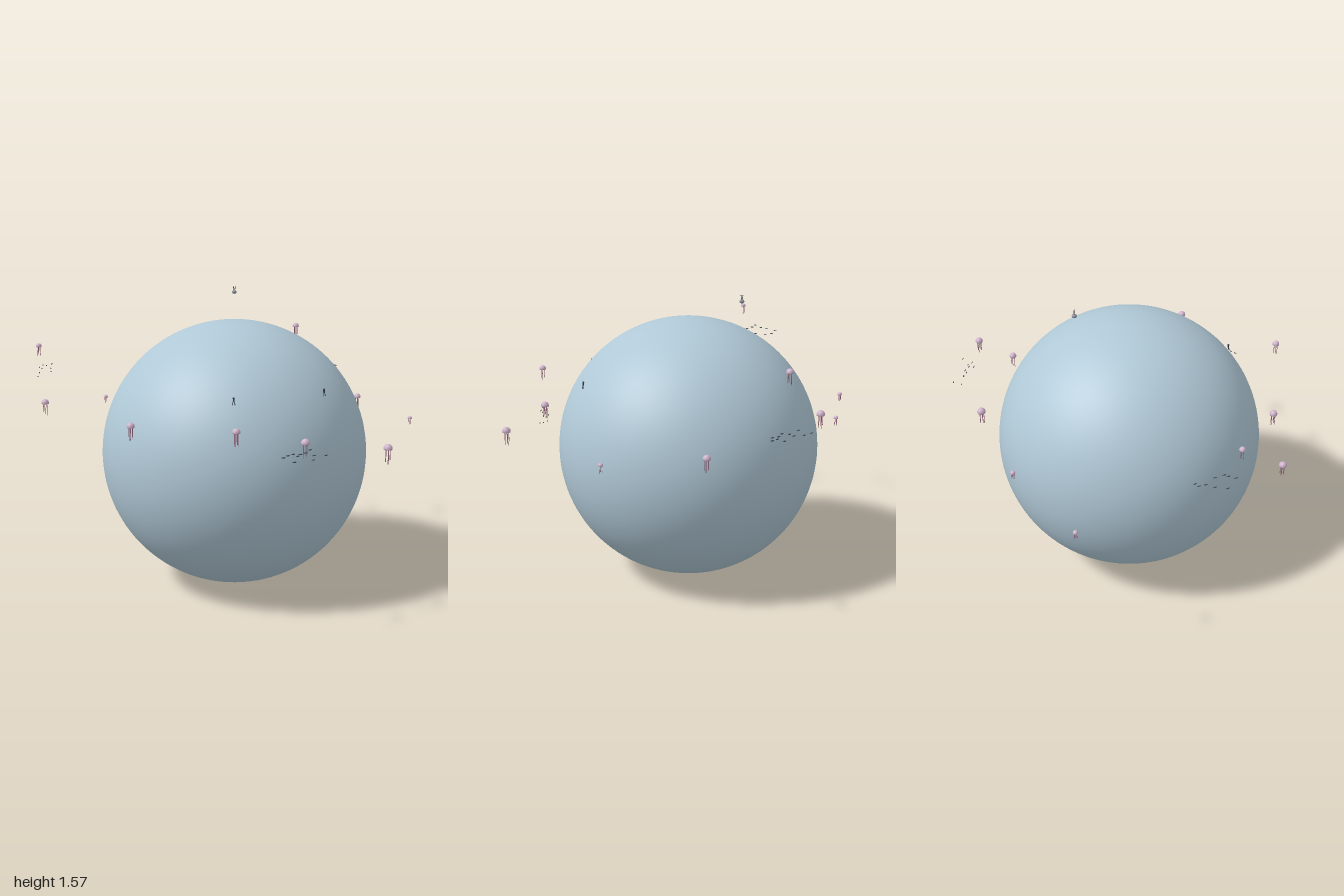
import * as THREE from 'three';

const mat = (name, color, side = THREE.FrontSide) => {
  const m = new THREE.MeshStandardMaterial({ color, side });
  m.name = name;
  return m;
};

export function createModel() {
  const model = new THREE.Group();
  const water = mat('paleBlue', 0xb0c8d6);
  const pink = mat('bellPink', 0xd0b4cc, THREE.DoubleSide);
  const rose = mat('tentacleRose', 0x9a6a82);
  const slate = mat('fishSlate', 0x46525c);
  const dark = mat('diverDark', 0x3a4048);
  const grey = mat('floatGrey', 0x8c9098);

  const add = (parent, name, geo, material, x = 0, y = 0, z = 0) => {
    const m = new THREE.Mesh(geo, material);
    m.name = name;
    m.position.set(x, y, z);
    parent.add(m);
    return m;
  };
  const group = (name, x, y, z) => {
    const g = new THREE.Group();
    g.name = name;
    g.position.set(x, y, z);
    model.add(g);
    return g;
  };
  // thin round rod between two points
  const rod = (parent, name, a, b, r, material) => {
    const p = new THREE.Vector3(...a), q = new THREE.Vector3(...b);
    const d = q.clone().sub(p);
    const m = add(parent, name, new THREE.CylinderGeometry(r, r, d.length(), 6), material);
    m.position.copy(p).add(q).multiplyScalar(0.5);
    m.quaternion.setFromUnitVectors(new THREE.Vector3(0, 1, 0), d.normalize());
  };

  // the great globe
  const centre = new THREE.Vector3(0, 0.71, 0.065);
  add(model, 'globe', new THREE.SphereGeometry(0.71, 96, 64), water, ...centre.toArray());

  // jellyfish: domed bell (unit radius) with trailing tentacles
  const bellProfile = [[0, -0.25], [0.55, -0.35], [0.92, -0.45], [1, -0.2], [0.92, 0.2],
    [0.7, 0.53], [0.4, 0.73], [0, 0.8]].map(p => new THREE.Vector2(...p));
  const bell = new THREE.LatheGeometry(bellProfile, 20);
  const jellies = [ // x, y, z, radius
    [-0.28, 1.02, -0.68, 0.022], [-0.025, 1.288, -0.72, 0.019], [0.415, 0.92, -0.64, 0.02],
    [-0.6, 0.885, -0.47, 0.013], [0.835, 0.9, -0.37, 0.012], [-0.988, 0.868, -0.11, 0.013],
    [0.975, 0.918, 0.315, 0.022], [0.64, 0.946, 0.515, 0.022], [0.46, 1.053, 0.857, 0.019],
    [-0.14, 0.998, 0.825, 0.02], [-0.645, 1.062, 0.843, 0.019], [-0.85, 1.299, 0.632, 0.015],
  ];
  jellies.forEach(([x, y, z, r], n) => {
    const g = group('jellyfish', x, y, z);
    g.scale.setScalar(r);
    add(g, 'bell', bell, pink);
    for (let i = 0; i < 5; i++) {
      const a = i / 5 * Math.PI * 2 + n;
      const px = 0.5 * Math.cos(a), pz = 0.5 * Math.sin(a);
      rod(g, 'tentacle', [px, -0.3, pz], [px, -2.7 - 0.45 * ((i * 2 + n) % 3), pz], 0.075, rose);
    }
  });

  // schools of small fish, each swimming around the globe
  const schools = [
    [[0.59, 0.895, 0.64], [0.6, 0.9, 0.615], [0.61, 0.9, 0.58], [0.64, 0.9, 0.565],
      [0.61, 0.857, 0.565], [0.62, 0.885, 0.55], [0.65, 0.9, 0.53], [0.67, 0.857, 0.485],
      [0.645, 0.9, 0.47], [0.66, 0.87, 0.455], [0.715, 0.875, 0.44]],
    [[-0.94, 1.16, 0.43], [-0.93, 1.14, 0.45], [-0.905, 1.13, 0.48], [-0.95, 1.155, 0.52],
      [-0.9, 1.17, 0.52], [-0.89, 1.18, 0.56], [-0.91, 1.12, 0.58], [-0.88, 1.165, 0.58],
      [-0.87, 1.15, 0.615]],
    [[-0.03, 1.02, -0.88], [-0.02, 1.0, -0.84], [0.015, 1.03, -0.835], [0.045, 1.01, -0.84],
      [0.065, 1.02, -0.83], [0.115, 1.0, -0.85], [0.17, 1.04, -0.87], [0.11, 1.03, -0.825],
      [0.15, 1.015, -0.84], [0.165, 1.02, -0.82], [0.155, 1.0, -0.81]],
  ];
  const fishBody = new THREE.SphereGeometry(1, 10, 8).scale(0.008, 0.0032, 0.0022);
  const fishTail = new THREE.ConeGeometry(0.003, 0.005, 4).rotateZ(-Math.PI / 2).scale(1, 1, 0.4);
  for (const school of schools) {
    for (const [x, y, z] of school) {
      const g = group('fish', x, y, z);
      g.rotation.y = Math.atan2(x, z - centre.z);
      add(g, 'fishBody', fishBody, slate);
      add(g, 'fishTail', fishTail, slate, -0.008);
    }
  }

  // two tiny figures on the globe's surface
  for (const [x, z] of [[0.29, 0.582], [0.58, 0.192]]) {
    const g = group('diver', x, 1.12, z);
    g.rotation.y = Math.atan2(x, z - centre.z);
    add(g, 'head', new THREE.SphereGeometry(0.0055, 12, 8), dark, 0, 0.013, 0.003);
    rod(g, 'torso', [0, 0.01, 0.003], [0, -0.002, 0.003], 0.0045, dark);
    for (const s of [-1, 1]) rod(g, 'leg', [s * 0.002, 0, 0.003], [s * 0.007, -0.019, 0.008], 0.0018, dark);
  }

  // small float above the globe with two upright stalks
  const f = group('float', -0.15, 1.533, -0.2);
  add(f, 'floatBody', new THREE.SphereGeometry(0.013, 16, 12), grey).scale.y = 0.8;
  for (const s of [-1, 1]) rod(f, 'stalk', [s * 0.002, 0.008, 0], [s * 0.007, 0.033, 0], 0.0018, dark);

  return model;
}
